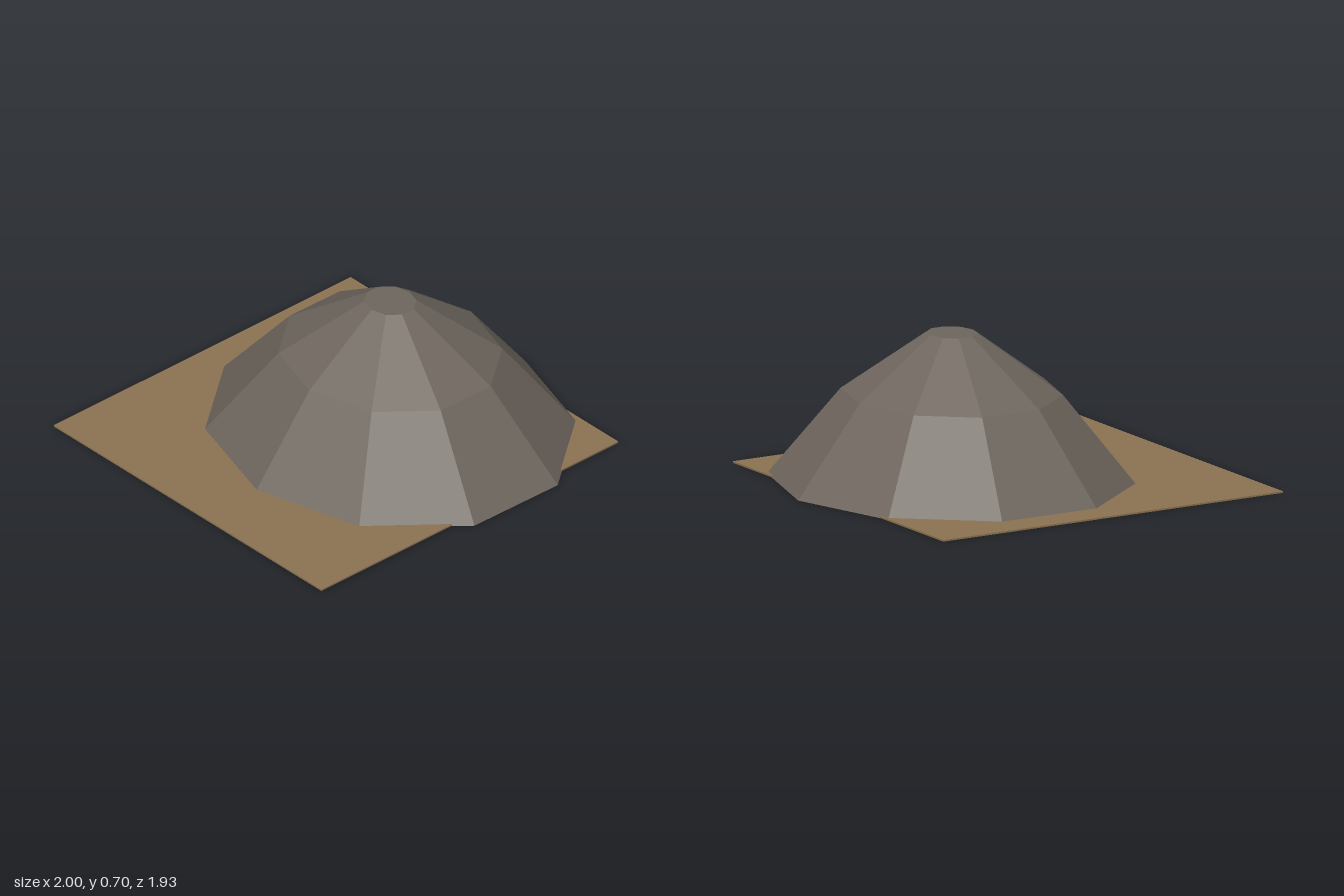
import * as THREE from 'three';

export function createModel() {
  const model = new THREE.Group();
  const stone = new THREE.MeshStandardMaterial({ color: 0x6e665e, flatShading: true, side: THREE.DoubleSide });
  stone.name = 'greyStone';
  const earth = new THREE.MeshStandardMaterial({ color: 0x8b7352 });
  earth.name = 'brownEarth';

  // Ten-sided mound, open underneath, flat on top
  const profile = [[1, 0], [0.6, 0.42], [0.14, 0.7], [0, 0.7]]
    .map(([r, y]) => new THREE.Vector2(r, y));
  const mound = new THREE.Mesh(new THREE.LatheGeometry(profile, 10, Math.PI / 2), stone);
  mound.name = 'mound';
  mound.scale.set(0.833, 1, 0.93);
  mound.rotation.y = -0.0125;
  mound.position.set(0.163, 0, 0.074);
  model.add(mound);

  // Thin square ground slab, offset from the mound
  const slab = new THREE.Mesh(new THREE.BoxGeometry(1.856, 0.008, 1.856), earth);
  slab.name = 'groundSlab';
  slab.position.set(-0.072, 0.004, -0.042);
  model.add(slab);

  return model;
}
